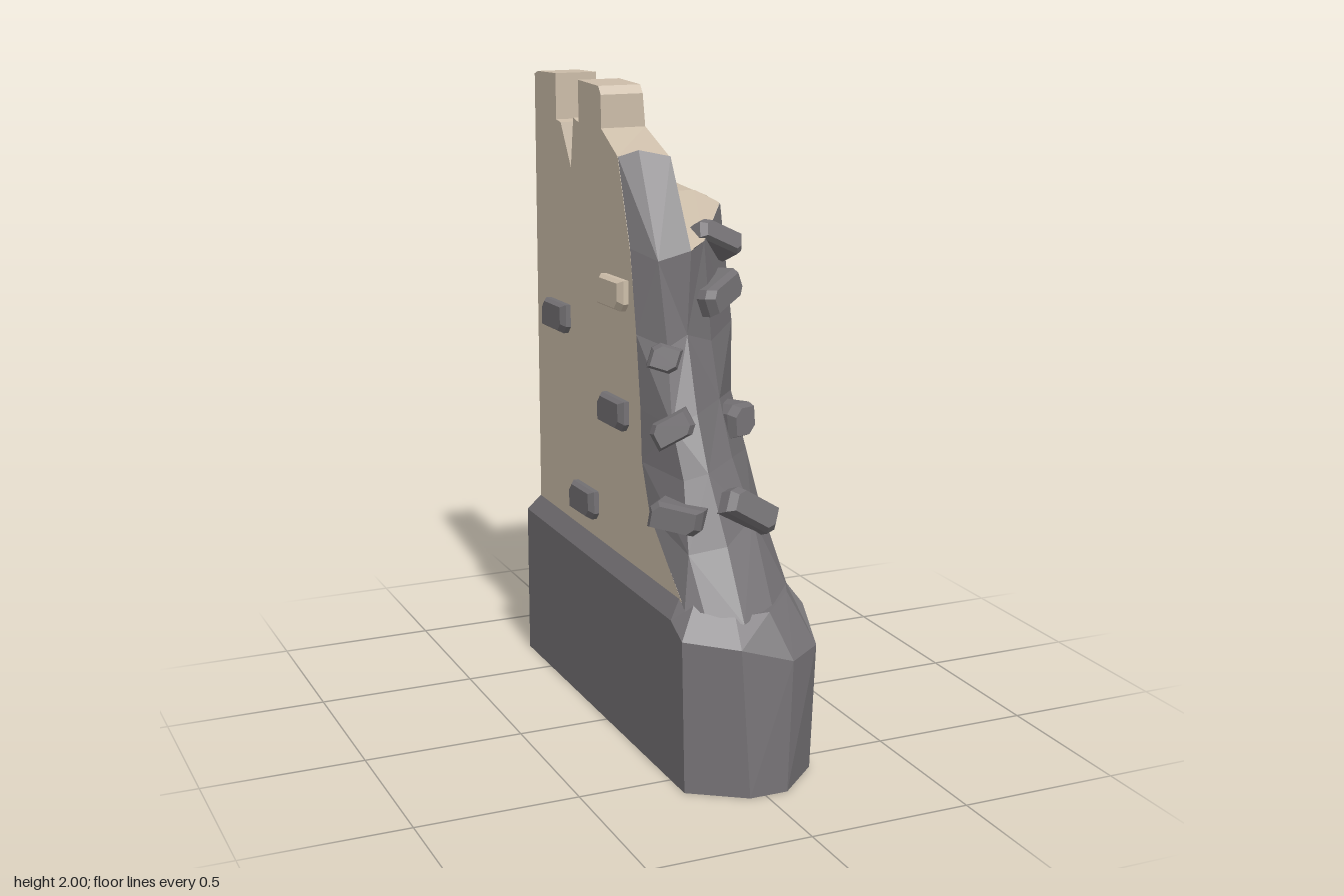
import * as THREE from 'three';

const mat = (name, color) => {
  const m = new THREE.MeshStandardMaterial({ color, flatShading: true, side: THREE.DoubleSide });
  m.name = name;
  return m;
};

// Faceted surface through rows of [x, y, z] points, each row running counter-clockwise seen from +y.
function loft(rows, closed) {
  const pos = [];
  const tri = (a, b, c) => pos.push(...a, ...b, ...c);
  for (let i = 0; i + 1 < rows.length; i++) {
    const lo = rows[i], hi = rows[i + 1];
    const n = Math.min(lo.length, hi.length);
    for (let j = 0; j < (closed ? n : n - 1); j++) {
      const k = (j + 1) % n;
      if ((i + j) % 2 && !closed) { tri(lo[j], lo[k], hi[j]); tri(lo[k], hi[k], hi[j]); }
      else { tri(lo[j], lo[k], hi[k]); tri(lo[j], hi[k], hi[j]); }
    }
  }
  if (closed) {
    const b = rows[0], t = rows[rows.length - 1];
    for (let j = 1; j + 1 < b.length; j++) { tri(b[0], b[j + 1], b[j]); tri(t[0], t[j], t[j + 1]); }
  }
  const g = new THREE.BufferGeometry();
  g.setAttribute('position', new THREE.Float32BufferAttribute(pos, 3));
  g.computeVertexNormals();
  return g;
}

// Side profile in (z, y) extruded from x0 to x1, then broken up by a rule moving each vertex.
function wall(profile, x0, x1, steps, rule) {
  const shape = new THREE.Shape(profile.map(([z, y]) => new THREE.Vector2(z, y)));
  let g = new THREE.ExtrudeGeometry(shape, { depth: x1 - x0, steps, bevelEnabled: false });
  g.rotateY(-Math.PI / 2).translate(x1, 0, 0);
  const p = g.attributes.position, v = new THREE.Vector3();
  for (let i = 0; i < p.count; i++) {
    v.fromBufferAttribute(p, i);
    rule(v);
    p.setXYZ(i, v.x, v.y, v.z);
  }
  g.computeVertexNormals();
  return g;
}

// Stone with cut corners and a tapered outer face, pointing along the normal.
function stone(len, h, depth, at, normal, roll) {
  const ring = (y, s) => {
    const a = len / 2 * s, b = h / 2 * s, c = h * 0.25;
    return [[-a, y, -b + c], [-a, y, b], [a - c, y, b], [a, y, b - c], [a, y, -b], [-a + c, y, -b]];
  };
  const g = loft([ring(-depth, 1), ring(depth * 0.55, 1), ring(depth, 0.82)], true);
  const n = new THREE.Vector3(...normal).normalize();
  const t = new THREE.Vector3().crossVectors(n, new THREE.Vector3(0, 1, 0)).normalize().applyAxisAngle(n, roll);
  const b = new THREE.Vector3().crossVectors(t, n);
  g.applyMatrix4(new THREE.Matrix4().makeBasis(t, n, b).setPosition(...at));
  return g;
}

export function createModel() {
  const group = new THREE.Group();
  const plaster = mat('beige plaster', 0xcbbca8);
  const rock = mat('grey stone', 0x737073);
  const add = (name, geo, m) => {
    const mesh = new THREE.Mesh(geo, m);
    mesh.name = name;
    group.add(mesh);
  };

  // Stone plinth with chamfered top and a tapering broken front
  add('base', loft([
    [[-.21, 0, -.71], [-.21, 0, .48], [-.21, 0, .6], [-.05, 0, .71], [.07, 0, .71], [.21, 0, .58], [.21, 0, .48], [.21, 0, -.71]],
    [[-.21, .5, -.71], [-.21, .5, .5], [-.21, .46, .58], [-.06, .44, .665], [.1, .39, .68], [.21, .4, .61], [.21, .5, .52], [.21, .5, -.71]],
    [[-.172, .56, -.67], [-.172, .56, .48], [-.15, .55, .53], [-.05, .52, .6], [.06, .52, .6], [.15, .55, .53], [.172, .56, .48], [.172, .56, -.67]],
  ], true), rock);

  // Tall half with two merlons; a crack opens on its outer side
  add('tallWall', wall([
    [-.67, .55], [.5, .55], [.27, .75], [.21, .9], [.2, 1.06], [.17, 1.28], [.12, 1.53], [.03, 1.79],
    [-.1, 1.86], [-.1, 1.96], [-.12, 1.985], [-.285, 1.99], [-.285, 1.86], [-.33, 1.87], [-.38, 1.84],
    [-.44, 1.845], [-.48, 1.85], [-.48, 1.995], [-.64, 1.99], [-.67, 1.98],
  ], -.175, -.03, 1, (v) => {
    if (v.x > -.1 && v.z > 0 && v.y > 1.5) v.z += v.y > 1.7 ? .05 : .11;
    if (v.x < -.1 && Math.abs(v.z + .38) < .01) v.y = 1.54;
    if (v.y > 1.95 && v.x > -.1) v.x -= .008;
  }), plaster);

  // Low half: chipped outer top edge and cut back corner
  const chips = { '-0.20': .06, '-0.28': .11, '-0.40': .06, '-0.50': .03 };
  add('lowWall', wall([
    [-.67, .55], [.49, .55], [.29, .75], [.19, .9], [.08, 1.06], [.08, 1.28], [0, 1.64], [-.1, 1.655],
    [-.2, 1.66], [-.28, 1.665], [-.4, 1.665], [-.5, 1.66], [-.62, 1.65], [-.67, 1.65], [-.67, 1.25],
  ], -.03, .172, 2, (v) => {
    const outer = v.x > .16;
    if (v.x > .05 && v.x < .1) v.x = .135;
    if (v.y > 1.6 && outer) {
      v.y -= chips[v.z.toFixed(2)] || .015;
      if (v.z < -.65) v.z = -.63;
    }
    if (v.y > 1.6 && !outer && Math.abs(v.z) < .01) v.y = 1.57;
  }), plaster);

  // Sloping broken top of the low half
  const A = [-.03, 1.66, -.1], B = [.135, 1.657, -.1], C = [.172, 1.63, 0], D = [.03, 1.55, .2], E = [-.03, 1.53, .23];
  const top = new THREE.BufferGeometry();
  top.setAttribute('position', new THREE.Float32BufferAttribute([A, E, D, A, D, B, B, D, C].flat(), 3));
  top.computeVertexNormals();
  add('brokenTop', top, plaster);

  // Jagged stone core exposed along the front; the tall half carries it higher
  add('brokenCore', loft([
    [[-.175, .53, .52], [-.13, .53, .56], [-.03, .5, .62], [.08, .53, .575], [.173, .54, .5]],
    [[-.176, .75, .27], [-.14, .68, .47], [-.03, .7, .5], [.08, .76, .44], [.174, .75, .3]],
    [[-.176, .9, .21], [-.12, .88, .39], [-.05, .9, .41], [.06, .92, .34], [.174, .9, .2]],
    [[-.176, 1.06, .2], [-.13, 1.03, .33], [-.05, 1.06, .33], [.06, 1.08, .25], [.174, 1.06, .09]],
    [[-.176, 1.28, .17], [-.11, 1.25, .25], [-.04, 1.28, .235], [.05, 1.25, .21], [.174, 1.28, .09]],
    [[-.176, 1.53, .125], [-.12, 1.5, .205], [-.028, 1.53, .235], [.03, 1.55, .2], [.173, 1.63, .005]],
    [[-.176, 1.79, .035], [-.12, 1.81, .06], [-.028, 1.79, .085]],
  ], false), rock);

  // Stones set in both long sides: [y, z, length, beige]
  const sides = [
    [1, [[1.38, -.11, .24, 1], [1.01, -.105, .22], [.78, -.485, .23], [.66, .12, .24]]],
    [-1, [[1.38, .01, .2, 1], [1.22, -.47, .2], [1.01, .01, .2], [.66, -.24, .2]]],
  ];
  for (const [s, list] of sides)
    for (const [y, z, len, pale] of list)
      add('sideStone', stone(len, .095, .033, [s * .173, y, z], [s, 0, 0], .03), pale ? plaster : rock);

  // Stones jutting from the broken front: [position, normal, length, height, depth, roll]
  const front = [
    [[.07, 1.39, .18], [.5, .1, 1], .16, .08, .06, .35],
    [[-.12, 1.22, .25], [-.4, .2, 1], .09, .08, .04, -.3],
    [[-.12, 1.02, .31], [-.5, .2, 1], .13, .08, .05, .5],
    [[.1, 1.01, .24], [.3, .1, 1], .09, .1, .07, 0],
    [[-.14, .78, .4], [-.8, .1, 1], .16, .08, .07, -.15],
    [[.06, .78, .44], [.35, .4, 1], .19, .09, .05, -.6],
    [[.1, 1.54, .13], [.5, .6, 1], .17, .07, .04, -.5],
  ];
  for (const [at, n, len, h, d, roll] of front) add('frontStone', stone(len, h, d, at, n, roll), rock);

  return group;
}
